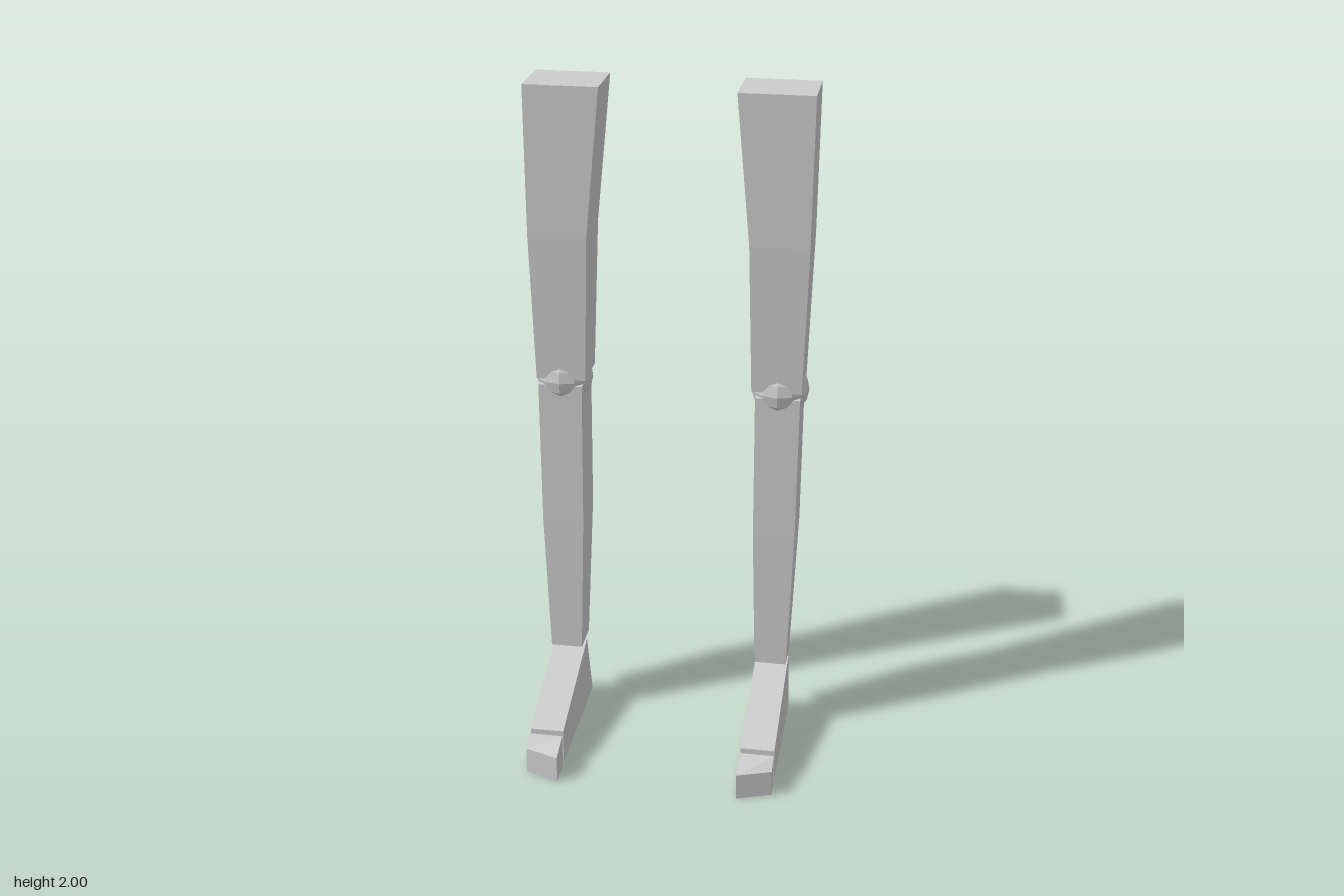
import * as THREE from 'three';

const material = new THREE.MeshStandardMaterial({ color: 0xcccccc, flatShading: true });

// Four corners, counter-clockwise from above; yFront and yBack let the ring tilt.
const ring = (x0, x1, zBack, zFront, yFront, yBack = yFront) => [
  [x0, yFront, zFront], [x1, yFront, zFront], [x1, yBack, zBack], [x0, yBack, zBack],
];

// Closed solid through four-cornered rings from bottom to top, mirrored when side is -1.
function loft(name, rings, side) {
  const sections = rings.map((r) => {
    const pts = r.map(([x, y, z]) => [x * side, y, z]);
    return side < 0 ? pts.reverse() : pts;
  });
  const pos = [];
  const quad = (a, b, c, d) => pos.push(...a, ...b, ...c, ...a, ...c, ...d);
  for (let s = 0; s < sections.length - 1; s++) {
    const lo = sections[s], hi = sections[s + 1];
    for (let i = 0; i < 4; i++) {
      const j = (i + 1) % 4;
      quad(lo[i], lo[j], hi[j], hi[i]);
    }
  }
  quad(...sections[sections.length - 1]);
  quad(...[...sections[0]].reverse());
  const geometry = new THREE.BufferGeometry();
  geometry.setAttribute('position', new THREE.Float32BufferAttribute(pos, 3));
  geometry.computeVertexNormals();
  const mesh = new THREE.Mesh(geometry, material);
  mesh.name = name;
  return mesh;
}

function createLeg(side) {
  const leg = new THREE.Group();
  leg.name = side > 0 ? 'leftLeg' : 'rightLeg';

  // Thigh: tapers towards the knee
  leg.add(loft('thigh', [
    ring(0.243, 0.388, -0.258, -0.117, 1.13),
    ring(0.23, 0.4, -0.272, -0.103, 1.57),
    ring(0.19, 0.403, -0.276, -0.102, 2),
  ], side));

  // Knee: ball between thigh and calf
  const knee = new THREE.Mesh(new THREE.SphereGeometry(0.085, 12, 8), material);
  knee.name = 'knee';
  knee.position.set(0.319 * side, 1.12, -0.188);
  leg.add(knee);

  // Calf: slight bulge at the back
  leg.add(loft('calf', [
    ring(0.27, 0.366, -0.23, -0.122, 0.23),
    ring(0.257, 0.381, -0.265, -0.117, 0.67),
    ring(0.254, 0.384, -0.256, -0.117, 1.11),
  ], side));

  // Foot: wedge rising to the ankle
  leg.add(loft('foot', [
    ring(0.268, 0.368, -0.26, 0.174, 0),
    ring(0.268, 0.368, -0.19, 0.174, 0.11, 0.22),
  ], side));

  // Toes: slanted front, longest on the inner side
  const toeBottom = ring(0.268, 0.368, 0.187, 0.273, 0);
  const toeTop = ring(0.268, 0.368, 0.192, 0.273, 0.08, 0.105);
  toeBottom[1][2] = toeTop[1][2] = 0.237;
  leg.add(loft('toes', [toeBottom, toeTop], side));
  return leg;
}

export function createModel() {
  const model = new THREE.Group();
  model.name = 'legs';
  for (const side of [1, -1]) model.add(createLeg(side));
  return model;
}
